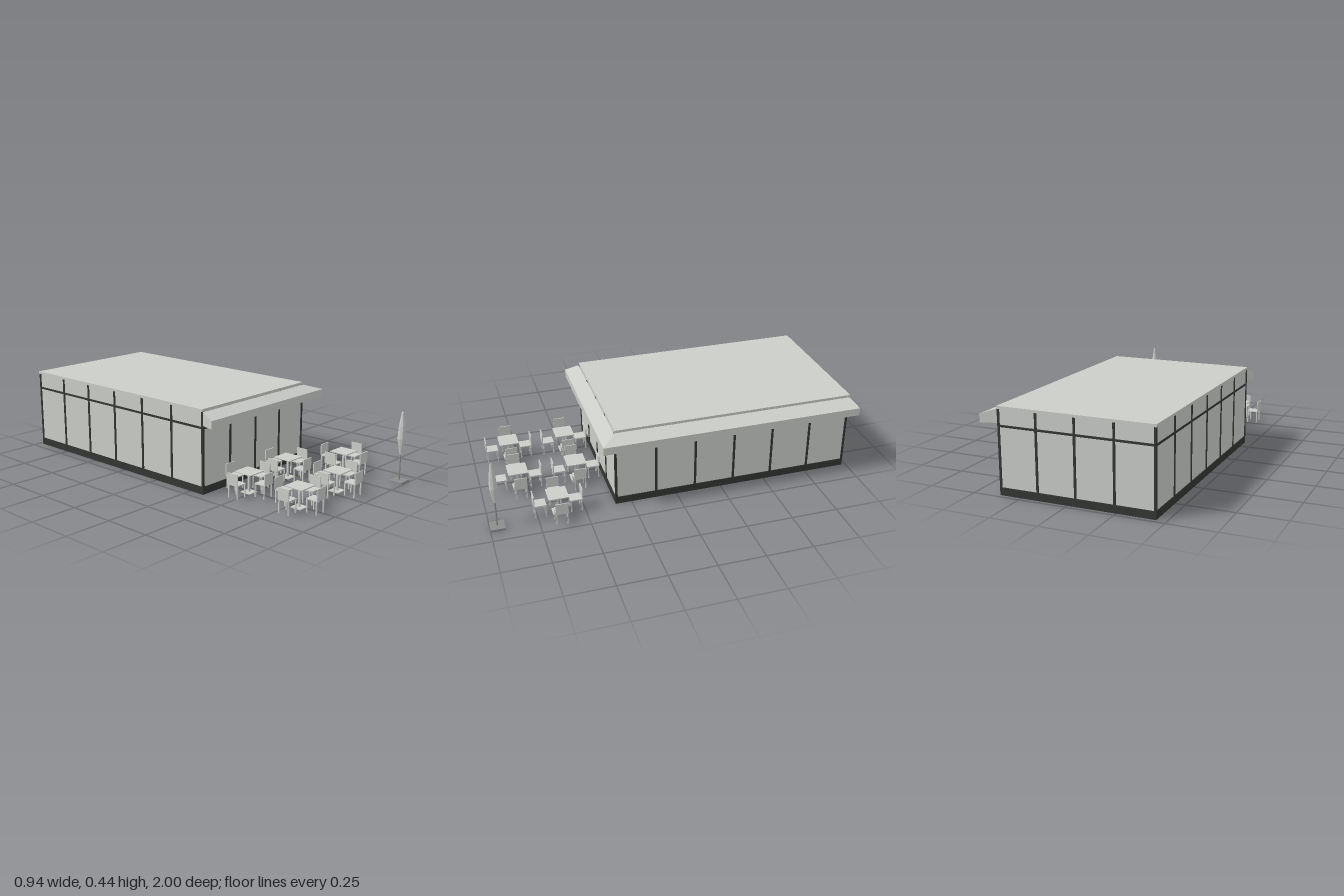
import * as THREE from 'three';

const paint = (name, color) => {
  const m = new THREE.MeshStandardMaterial({ color });
  m.name = name;
  return m;
};

export function createModel() {
  const light = paint('light grey', 0xcacdc8);
  const dark = paint('charcoal', 0x333633);
  const metal = paint('mid grey', 0x8c8e8b);
  const model = new THREE.Group();
  model.name = 'cafePavilion';

  const add = (parent, name, geometry, material) => {
    const mesh = new THREE.Mesh(geometry, material);
    mesh.name = name;
    parent.add(mesh);
    return mesh;
  };
  // Box given by its minimum and maximum on each axis
  const box = (parent, name, mat, x0, x1, y0, y1, z0, z1) => {
    const mesh = add(parent, name, new THREE.BoxGeometry(x1 - x0, y1 - y0, z1 - z0), mat);
    mesh.position.set((x0 + x1) / 2, (y0 + y1) / 2, (z0 + z1) / 2);
    return mesh;
  };
  const group = (parent, name) => {
    const g = new THREE.Group();
    g.name = name;
    parent.add(g);
    return g;
  };

  // Building shell
  const X0 = -0.45, X1 = 0.365, Z0 = -0.978, Z1 = 0.337, TOP = 0.43;

  // Wall along local x from 0 to length, outer face at local z = 0
  const wall = (name, length, bays, x, z, turn) => {
    const g = group(model, name);
    g.position.set(x, 0, z);
    g.rotation.y = turn;
    box(g, 'plinth', dark, 0, length, 0, 0.04, -0.014, 0);
    box(g, 'panel', light, 0.004, length - 0.004, 0.04, TOP, -0.009, -0.004);
    box(g, 'transom', dark, 0.004, length - 0.004, 0.341, 0.352, -0.012, -0.001);
    const w = 0.012;
    for (let i = 0; i <= bays; i++) {
      const p = (i / bays) * (length - w);
      box(g, 'mullion', dark, p, p + w, 0.04, TOP, -0.012, 0);
    }
  };
  wall('frontWall', X1 - X0, 4, X0, Z1, 0);
  wall('backWall', X1 - X0, 4, X1, Z0, Math.PI);
  wall('leftWall', Z1 - Z0, 6, X1, Z1, Math.PI / 2);
  wall('rightWall', Z1 - Z0, 6, X0, Z0, -Math.PI / 2);
  box(model, 'roofSlab', light, X0 - 0.002, X1, TOP, 0.444, Z0 - 0.002, Z1 - 0.004);

  // Sloping canopy: one cross-section carried along the front and the left side
  const section = (xi, zi, xo, zo) => [[xi, 0.36, zi], [xo, 0.36, zo], [xo, 0.402, zo], [xi, TOP, zi]];
  const stations = [
    section(X0, Z1, -0.47, 0.412),
    section(X1, Z1, 0.448, 0.412),
    section(X1, Z0, 0.448, -1.0),
  ];
  const pts = [];
  const quad = (a, b, c, d) => pts.push(...a, ...b, ...c, ...a, ...c, ...d);
  for (let s = 0; s < 2; s++) {
    const A = stations[s], B = stations[s + 1];
    for (let i = 0; i < 3; i++) quad(A[i], B[i], B[i + 1], A[i + 1]);
  }
  quad(...stations[0]);
  quad(...[...stations[2]].reverse());
  const canopy = new THREE.BufferGeometry();
  canopy.setAttribute('position', new THREE.Float32BufferAttribute(pts, 3));
  canopy.computeVertexNormals();
  add(model, 'canopy', canopy, light);

  // Chair facing local -z, with its back at +z
  const chair = (parent, turn) => {
    const pivot = group(parent, 'chair');
    pivot.rotation.y = turn;
    const c = group(pivot, 'chairBody');
    c.position.z = 0.094;
    box(c, 'seat', light, -0.032, 0.032, 0.067, 0.073, -0.032, 0.032);
    box(c, 'backrest', light, -0.033, 0.033, 0.07, 0.131, 0.03, 0.035);
    for (const x of [-0.028, 0.028])
      for (const z of [-0.028, 0.028])
        box(c, 'chairLeg', light, x - 0.003, x + 0.003, 0, 0.067, z - 0.003, z + 0.003);
  };

  // Pedestal table with four chairs
  const diningSet = (x, z) => {
    const g = group(model, 'diningSet');
    g.position.set(x, 0, z);
    box(g, 'tableTop', light, -0.053, 0.053, 0.109, 0.114, -0.053, 0.053);
    box(g, 'tableFoot', light, -0.03, 0.03, 0, 0.005, -0.03, 0.03);
    box(g, 'tablePost', light, -0.005, 0.005, 0.005, 0.109, -0.005, 0.005);
    for (let i = 0; i < 4; i++) chair(g, (i * Math.PI) / 2);
  };
  // Terrace
  for (const x of [-0.265, 0.053]) for (const z of [0.482, 0.8]) diningSet(x, z);
  diningSet(0.341, 0.64);
  // Indoors
  for (const x of [-0.25, 0.08]) for (const z of [-0.7, -0.37, -0.04]) diningSet(x, z);

  // Closed parasol
  const parasol = group(model, 'parasol');
  parasol.position.set(0.386, 0, 0.961);
  box(parasol, 'parasolBase', metal, -0.038, 0.038, 0, 0.012, -0.038, 0.038);
  const pole = add(parasol, 'parasolPole', new THREE.CylinderGeometry(0.004, 0.004, 0.16, 8), metal);
  pole.position.y = 0.09;
  const profile = [[0, 0.15], [0.005, 0.15], [0.021, 0.237], [0.017, 0.305], [0.006, 0.375], [0, 0.385]]
    .map(([r, y]) => new THREE.Vector2(r, y));
  const folded = new THREE.LatheGeometry(profile, 8).toNonIndexed();
  folded.computeVertexNormals();
  add(parasol, 'foldedParasol', folded, light);

  return model;
}
